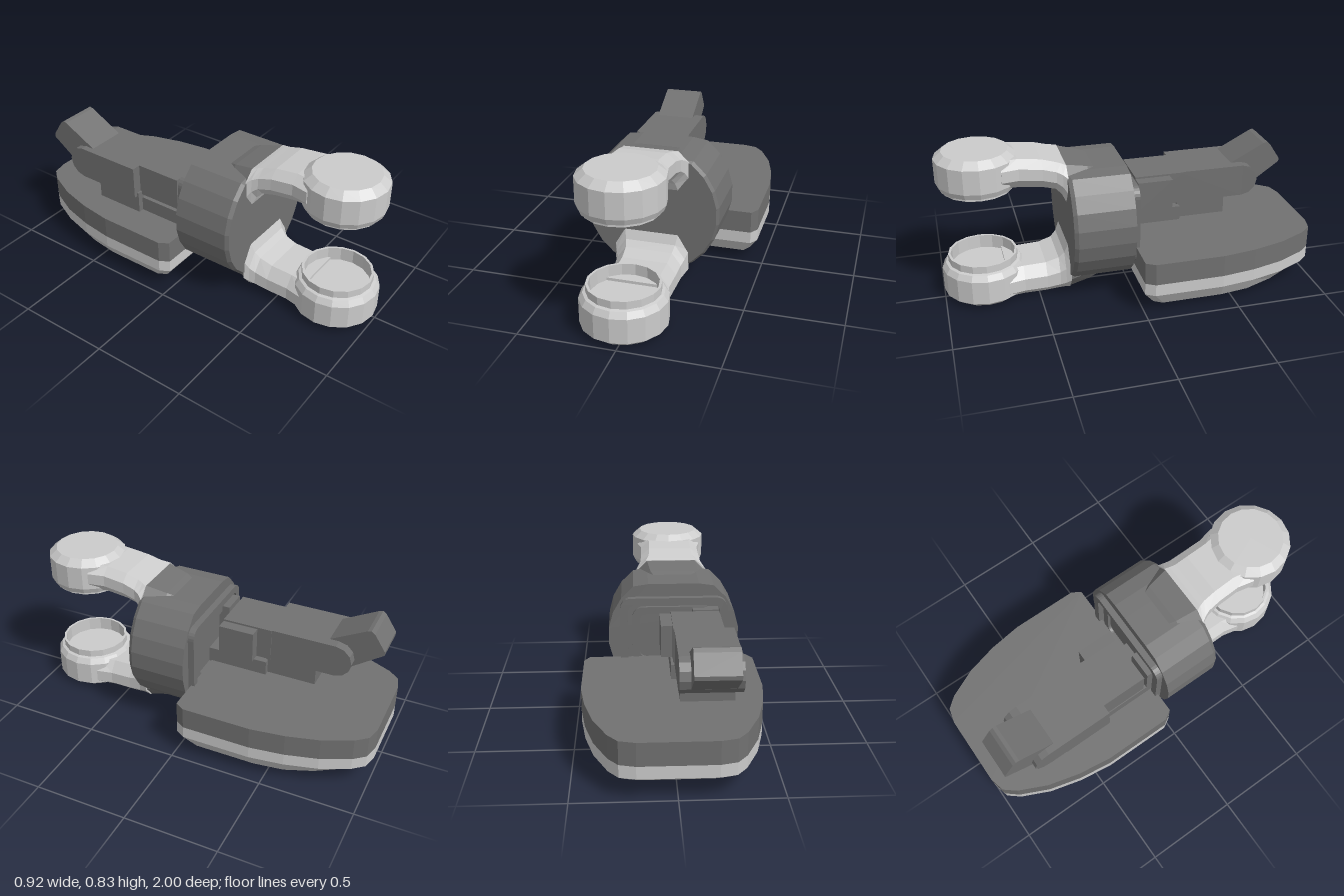
import * as THREE from 'three';

const CX = -0.03; // centre line of drum and arms

export function createModel() {
  const model = new THREE.Group();
  const light = new THREE.MeshStandardMaterial({ color: 0xcccccc, flatShading: true });
  const dark = new THREE.MeshStandardMaterial({ color: 0x717171, flatShading: true });

  function add(name, geometry, material) {
    const mesh = new THREE.Mesh(geometry, material);
    mesh.name = name;
    model.add(mesh);
    return mesh;
  }

  // Box given by its limits
  function block(name, x0, x1, y0, y1, z0, z1, material = dark) {
    const mesh = add(name, new THREE.BoxGeometry(x1 - x0, y1 - y0, z1 - z0), material);
    mesh.position.set((x0 + x1) / 2, (y0 + y1) / 2, (z0 + z1) / 2);
  }

  // Skin over equal-length rings of [x, y, z], closed at both ends
  function loft(rings) {
    const n = rings[0].length;
    let tris = [];
    for (let r = 0; r < rings.length - 1; r++) {
      for (let i = 0; i < n; i++) {
        const j = (i + 1) % n;
        const a = rings[r][i], b = rings[r][j], c = rings[r + 1][j], d = rings[r + 1][i];
        tris.push([a, b, c], [a, c, d]);
      }
    }
    const first = rings[0], last = rings[rings.length - 1];
    for (let i = 1; i < n - 1; i++) {
      tris.push([first[0], first[i + 1], first[i]], [last[0], last[i], last[i + 1]]);
    }
    // Turn the faces outward
    const v = (p) => new THREE.Vector3(...p);
    const volume = tris.reduce((s, [a, b, c]) => s + v(a).dot(v(b).cross(v(c))), 0);
    if (volume < 0) tris = tris.map(([a, b, c]) => [a, c, b]);
    const geometry = new THREE.BufferGeometry();
    geometry.setAttribute('position', new THREE.Float32BufferAttribute(tris.flat(2), 3));
    geometry.computeVertexNormals();
    return geometry;
  }

  // Side profile of [z, y] points extruded across x
  function sideExtrude(points, x0, x1) {
    const shape = new THREE.Shape(points.map(([z, y]) => new THREE.Vector2(-z, y)));
    const geometry = new THREE.ExtrudeGeometry(shape, { depth: x1 - x0, bevelEnabled: false });
    return geometry.rotateY(Math.PI / 2).translate(x0, 0, 0);
  }

  // Tapered base: dark upper slab, light lower hull
  const half = [[0.43, 0], [0.46, -0.05], [0.46, -0.42], [0.435, -0.6], [0.39, -0.77],
    [0.32, -0.92], [0.27, -0.98], [0.19, -1]];
  const outline = [...half, ...half.map(([x, z]) => [-x, z]).reverse()];
  const level = (y) => outline.map(([x, z]) => [x, y, z]);
  const floor = outline.map(([x, z]) => {
    const zz = -0.5 + (z + 0.5) * 0.88;
    return [x * 0.89, 0.035 + Math.max(0, -zz - 0.6) * 0.12, zz];
  });
  add('baseTop', loft([level(0.3), level(0.18)]), dark);
  add('baseHull', loft([level(0.18), level(0.115), floor]), light);

  // Drum, flattened at the top, with a narrow front chamfer
  const drumRing = (radius, z) => Array.from({ length: 24 }, (_, i) => {
    const a = ((i + 0.5) / 24) * Math.PI * 2;
    const y = THREE.MathUtils.clamp(0.415 + radius * Math.sin(a), 0.06, 0.71);
    return [CX + radius * Math.cos(a), y, z];
  });
  add('drum', loft([drumRing(0.357, 0.015), drumRing(0.357, 0.32), drumRing(0.345, 0.34)]), dark);

  // Rounded rectangular frames stepped on the back of the drum
  function roundedRect(Type, w, h, r) {
    const p = new Type();
    [[1, 1], [-1, 1], [-1, -1], [1, -1]].forEach(([sx, sy], i) => {
      p.absarc(sx * (w / 2 - r), sy * (h / 2 - r), r, i * Math.PI / 2, (i + 1) * Math.PI / 2);
    });
    p.closePath();
    return p;
  }
  [[0.58, 0.44, 0.035], [0.45, 0.33, 0.018]].forEach(([w, h, depth], i) => {
    const shape = roundedRect(THREE.Shape, w, h, 0.06);
    shape.holes.push(roundedRect(THREE.Path, w - 0.08, h - 0.08, 0.035));
    const geometry = new THREE.ExtrudeGeometry(shape, { depth, bevelEnabled: false, curveSegments: 3 });
    add('backFrame' + (i + 1), geometry.translate(CX, 0.42, 0.016 - depth), dark);
  });

  // Latch mount and riser
  block('latchPlate', -0.27, -0.13, 0.38, 0.58, -0.045, 0.02);
  block('riserFront', -0.27, 0, 0.28, 0.38, -0.32, 0.02);
  block('riserRear', -0.3, -0.03, 0.28, 0.42, -0.59, -0.31);
  block('latchBlock', -0.27, -0.01, 0.4, 0.58, -0.34, -0.065);
  block('latchSide', -0.01, 0.05, 0.4, 0.57, -0.26, -0.065);

  // Latch body with a rounded rear end
  const body = [[-0.32, 0.4], [-0.32, 0.58]];
  for (let i = 0; i <= 6; i++) {
    const a = Math.PI / 2 + (i / 6) * Math.PI;
    body.push([-0.69 + 0.09 * Math.cos(a), 0.49 + 0.09 * Math.sin(a)]);
  }
  add('latchBody', sideExtrude(body, -0.32, -0.015), dark);

  // Upturned lever tip
  add('leverTip', sideExtrude([[-0.62, 0.57], [-0.83, 0.68], [-0.85, 0.685], [-0.87, 0.67],
    [-0.93, 0.58], [-0.93, 0.56], [-0.76, 0.44], [-0.65, 0.42]], -0.285, -0.07), dark);

  // Arm cross-section: chamfered between inner and outer height
  const armRing = ([z, inner, outer, w]) => {
    const t = outer - inner;
    return [[w * 0.72, outer], [w, outer - t * 0.25], [w, inner + t * 0.35], [w * 0.72, inner],
      [-w * 0.72, inner], [-w, inner + t * 0.35], [-w, outer - t * 0.25], [-w * 0.72, outer]]
      .map(([x, y]) => [CX + x, y, z]);
  };

  // Each arm: dark shoulder on the drum, curved light arm [z, inner, outer, half width]
  const arms = {
    upper: {
      shoulder: [[0.17, 0.53, 0.705, 0.14], [0.22, 0.53, 0.722, 0.165], [0.34, 0.53, 0.75, 0.19]],
      arm: [[0.335, 0.53, 0.75, 0.2], [0.36, 0.585, 0.758, 0.185], [0.39, 0.615, 0.766, 0.173],
        [0.46, 0.632, 0.786, 0.167], [0.58, 0.645, 0.8, 0.165], [0.67, 0.65, 0.8, 0.185]],
    },
    lower: {
      shoulder: [[0.17, 0.3, 0.065, 0.14], [0.22, 0.3, 0.052, 0.165], [0.34, 0.3, 0.03, 0.19]],
      arm: [[0.335, 0.3, 0.03, 0.2], [0.36, 0.238, 0.026, 0.185], [0.39, 0.207, 0.02, 0.173],
        [0.46, 0.185, 0.012, 0.167], [0.58, 0.18, 0.01, 0.165], [0.67, 0.18, 0.012, 0.185]],
    },
  };
  for (const [side, { shoulder, arm }] of Object.entries(arms)) {
    add(side + 'Shoulder', loft(shoulder.map(armRing)), dark);
    add(side + 'Arm', loft(arm.map(armRing)), light);
  }

  // Round cups with raised rims, facing each other
  function cup(name, radius, rimHeight) {
    const profile = [[0, 0], [radius * 0.8, 0], [radius, 0.035], [radius, 0.165], [0.2, 0.195],
      [0.185, 0.2], [0.185, rimHeight], [0.172, rimHeight], [0.172, 0.165], [0, 0.165]]
      .map(([x, y]) => new THREE.Vector2(x, y));
    const mesh = add(name, new THREE.LatheGeometry(profile, 16), light);
    mesh.position.set(CX, 0, 0.78);
    return mesh;
  }
  cup('lowerCup', 0.22, 0.24);
  const upperCup = cup('upperCup', 0.213, 0.212);
  upperCup.rotation.x = Math.PI;
  upperCup.position.y = 0.83;

  return model;
}
